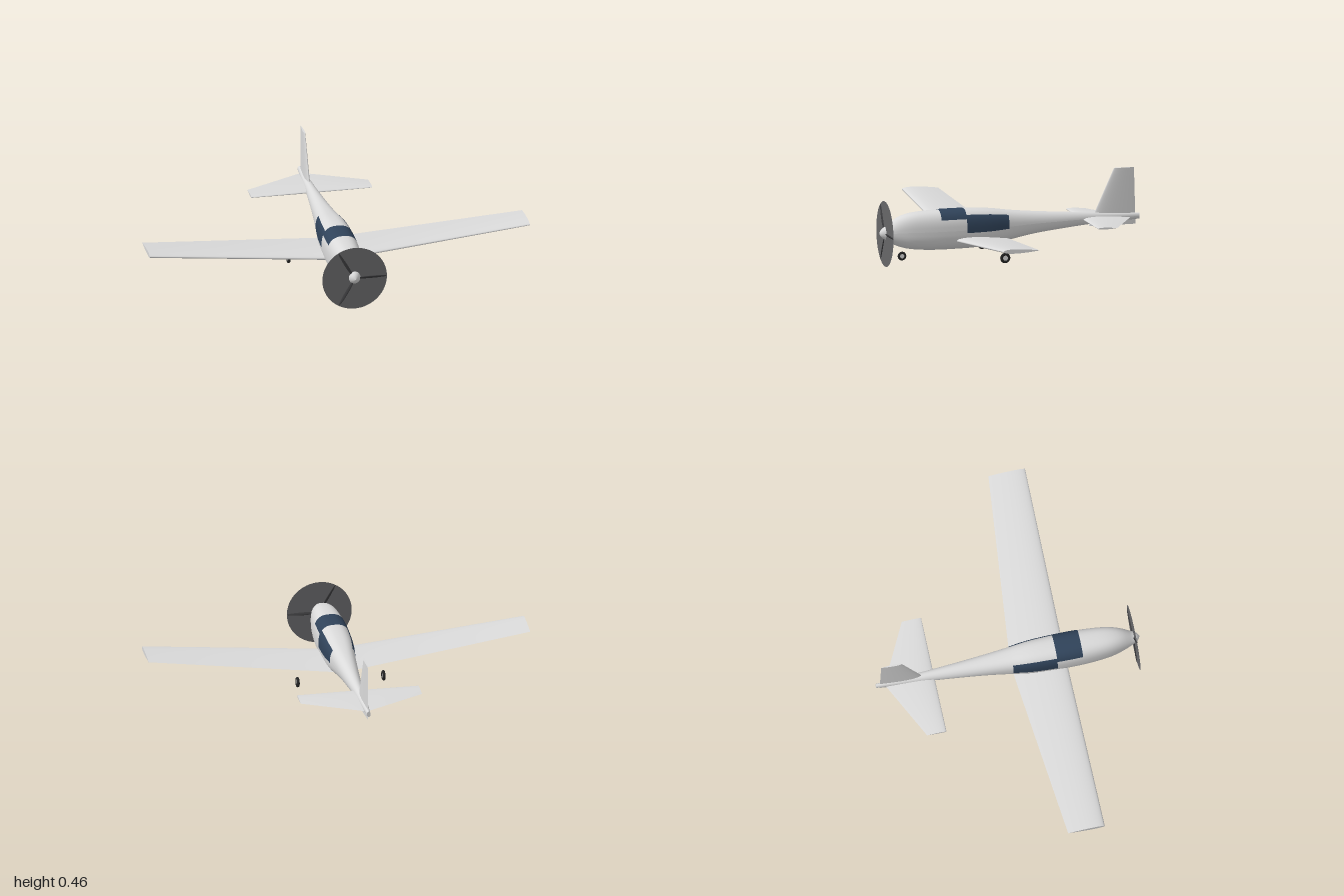
import * as THREE from 'three';

const mat = (name, color, side = THREE.FrontSide) => {
  const m = new THREE.MeshStandardMaterial({ color, side });
  m.name = name;
  return m;
};

// Skin a list of cross-section rings, optionally closing both ends
function loft(rings, caps = true) {
  const pos = [], idx = [], n = rings[0].length;
  rings.forEach(r => r.forEach(p => pos.push(...p)));
  for (let i = 0; i < rings.length - 1; i++) {
    for (let j = 0; j < n - 1; j++) {
      const a = i * n + j, b = a + 1, c = a + n, d = c + 1;
      idx.push(a, c, b, b, c, d);
    }
  }
  if (caps) {
    [rings[0], rings[rings.length - 1]].forEach((ring, end) => {
      const base = pos.length / 3;
      const mid = [0, 1, 2].map(k => ring.reduce((s, p) => s + p[k], 0) / n);
      pos.push(...mid);
      ring.forEach(p => pos.push(...p));
      for (let j = 1; j < n; j++) {
        if (end) idx.push(base, base + j + 1, base + j);
        else idx.push(base, base + j, base + j + 1);
      }
    });
  }
  const g = new THREE.BufferGeometry();
  g.setAttribute('position', new THREE.Float32BufferAttribute(pos, 3));
  g.setIndex(idx);
  g.computeVertexNormals();
  return g;
}

// Symmetric airfoil as [thickness offset, z], starting and ending at the trailing edge
function airfoil(le, te, thick, steps = 32) {
  const pts = [];
  for (let i = 0; i <= steps; i++) {
    const t = (i / steps) * Math.PI * 2, c = (1 - Math.cos(t)) / 2;
    const x = 1 - c;
    const h = 5 * (0.2969 * Math.sqrt(x) - 0.126 * x - 0.3516 * x ** 2 + 0.2843 * x ** 3 - 0.1036 * x ** 4);
    pts.push([(i <= steps / 2 ? 1 : -1) * h * thick, le + (te - le) * x]);
  }
  return pts;
}

// Fuselage stations: z, bottom y, top y, half width
const stations = [
  [0.692, 0.172, 0.174, 0.001], [0.685, 0.158, 0.19, 0.014], [0.672, 0.147, 0.202, 0.025],
  [0.652, 0.134, 0.213, 0.035], [0.6, 0.106, 0.251, 0.054], [0.53, 0.088, 0.273, 0.07],
  [0.42, 0.079, 0.283, 0.081], [0.3, 0.079, 0.286, 0.084], [0.18, 0.083, 0.285, 0.081],
  [0.1, 0.092, 0.28, 0.076], [0, 0.114, 0.267, 0.064], [-0.13, 0.139, 0.255, 0.051],
  [-0.28, 0.158, 0.245, 0.038], [-0.43, 0.174, 0.236, 0.026], [-0.57, 0.183, 0.228, 0.018],
  [-0.695, 0.191, 0.221, 0.01],
];

// Smoothly interpolated station at a given z
function stationAt(z) {
  let i = 0;
  while (i < stations.length - 2 && z < stations[i + 1][0]) i++;
  const s = k => stations[Math.min(Math.max(k, 0), stations.length - 1)];
  const t = (z - s(i)[0]) / (s(i + 1)[0] - s(i)[0]), dz = s(i + 1)[0] - s(i)[0];
  return [1, 2, 3].map(k => {
    const slope = (a, b) => ((s(b)[k] - s(a)[k]) / (s(b)[0] - s(a)[0])) * dz;
    const p0 = s(i)[k], p1 = s(i + 1)[k];
    const m0 = slope(i - 1 < 0 ? 0 : i - 1, i + 1), m1 = slope(i, Math.min(i + 2, stations.length - 1));
    return p0 * (1 + 2 * t) * (1 - t) ** 2 + m0 * t * (1 - t) ** 2
      + p1 * t * t * (3 - 2 * t) + m1 * t * t * (t - 1);
  });
}

// Part of the fuselage skin between two z values and two angles (degrees)
function skin(zs, a0, a1, n, grow = 0) {
  return zs.map(z => {
    const [bottom, top, w] = stationAt(z);
    // Round at the nose and tail, boxier around the cabin
    const power = 2 + 0.6 * THREE.MathUtils.smoothstep(w, 0.035, 0.075);
    const ring = [];
    for (let j = 0; j <= n; j++) {
      const a = THREE.MathUtils.degToRad(a0 + ((a1 - a0) * j) / n);
      const f = v => Math.sign(v) * Math.abs(v) ** (2 / power);
      ring.push([(w + grow) * f(Math.cos(a)),
        (bottom + top) / 2 + ((top - bottom) / 2 + grow) * f(Math.sin(a)), z]);
    }
    return ring;
  });
}
const steps = (a, b, n) => Array.from({ length: n + 1 }, (_, i) => a + ((b - a) * i) / n);

export function createModel() {
  const paint = mat('light grey paint', 0xdadada);
  const glass = mat('dark blue glass', 0x30435a, THREE.DoubleSide);
  const discGrey = mat('propeller disc grey', 0x666668, THREE.DoubleSide);
  const bladeGrey = mat('blade dark grey', 0x3c3c3e);
  const rubber = mat('tyre black', 0x242424);
  const model = new THREE.Group();
  const add = (name, geo, material, parent = model) => {
    const m = new THREE.Mesh(geo, material);
    m.name = name;
    parent.add(m);
    return m;
  };

  // Body, with dense stations at the nose
  const zs = [...steps(0.692, 0.64, 10), ...steps(0.62, -0.695, 60)];
  add('fuselage', loft(skin(zs, 0, 360, 48)), paint);

  // Cabin windows
  add('windshield', loft(skin(steps(0.38, 0.245, 8), 28, 152, 30, 0.0015), false), glass);
  const sideZ = steps(0.245, 0.016, 14);
  add('leftWindow', loft(skin(sideZ, -4, 44, 14, 0.0015), false), glass);
  add('rightWindow', loft(skin(sideZ, 136, 184, 14, 0.0015), false), glass);

  // Wing and tailplane: tip, root, tip
  const wingRing = (x, y, le, te, thick) => airfoil(le, te, thick).map(([h, z]) => [x, y + h, z]);
  add('wing', loft([
    wingRing(1, 0.224, 0.3, 0.107, 0.023),
    wingRing(0, 0.122, 0.3, 0.013, 0.034),
    wingRing(-1, 0.224, 0.3, 0.107, 0.023),
  ]), paint);
  add('tailplane', loft([
    wingRing(0.318, 0.202, -0.39, -0.492, 0.01),
    wingRing(0, 0.202, -0.39, -0.65, 0.026),
    wingRing(-0.318, 0.202, -0.39, -0.492, 0.01),
  ]), paint);

  // Tail fin
  const finRing = (y, le, te, thick) => airfoil(le, te, thick).map(([h, z]) => [h, y, z]);
  add('fin', loft([finRing(0.165, -0.425, -0.675, 0.022), finRing(0.461, -0.56, -0.667, 0.01)]), paint);

  // Propeller: spinning disc and three twisted blades
  const propeller = new THREE.Group();
  propeller.name = 'propeller';
  propeller.position.set(0, 0.17, 0.662);
  model.add(propeller);
  add('propellerDisc', new THREE.CircleGeometry(0.17, 64), discGrey, propeller);
  for (let i = 0; i < 3; i++) {
    const arm = new THREE.Group();
    arm.name = 'bladeArm';
    arm.rotation.z = (i * Math.PI * 2) / 3;
    propeller.add(arm);
    const blade = add('blade', new THREE.SphereGeometry(1, 20, 12), bladeGrey, arm);
    blade.scale.set(0.083, 0.01, 0.004);
    blade.position.x = 0.087;
    blade.rotation.x = 0.6;
  }

  // Wheels
  const addWheel = (name, x, y, z, r) => {
    const wheel = new THREE.Group();
    wheel.name = name;
    wheel.position.set(x, y, z);
    wheel.rotation.y = Math.PI / 2;
    model.add(wheel);
    add('tyre', new THREE.TorusGeometry(r * 0.7, r * 0.3, 12, 32), rubber, wheel);
    add('hub', new THREE.CylinderGeometry(r * 0.5, r * 0.5, r * 0.4, 24).rotateX(Math.PI / 2), paint, wheel);
  };
  addWheel('noseWheel', 0, 0.051, 0.571, 0.023);
  addWheel('leftWheel', 0.225, 0.056, 0.081, 0.027);
  addWheel('rightWheel', -0.225, 0.056, 0.081, 0.027);

  return model;
}
